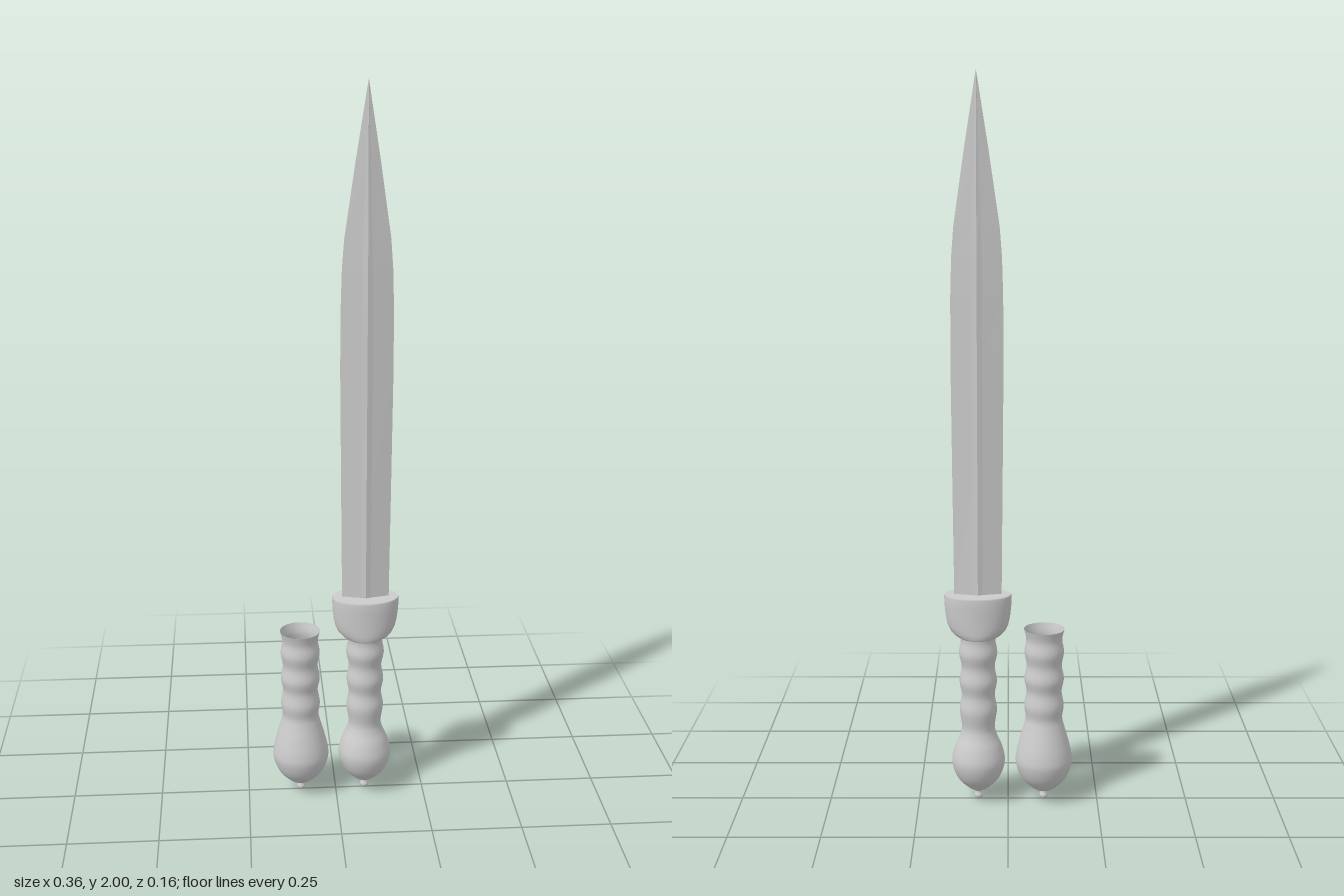
import * as THREE from 'three';

const material = new THREE.MeshStandardMaterial({ color: 0xcccccc, side: THREE.DoubleSide });

function addMesh(parent, name, geometry) {
  const mesh = new THREE.Mesh(geometry, material);
  mesh.name = name;
  parent.add(mesh);
  return mesh;
}

// Smooth turned shape from [radius, height] points
function turned(points, steps = 110) {
  const curve = new THREE.SplineCurve(points.map(([r, y]) => new THREE.Vector2(r, y)));
  return new THREE.LatheGeometry(curve.getPoints(steps), 48);
}

// Loft closed rings of Vector3, lowest first, each running from +x towards +z
function loft(rings, flat) {
  const n = rings[0].length;
  const positions = rings.flatMap(ring => ring.flatMap(p => [p.x, p.y, p.z]));
  const index = [];
  for (let j = 0; j < rings.length - 1; j++) {
    for (let i = 0; i < n; i++) {
      const a = j * n + i, b = j * n + (i + 1) % n;
      index.push(a, a + n, b, b, a + n, b + n);
    }
  }
  let geometry = new THREE.BufferGeometry();
  geometry.setAttribute('position', new THREE.Float32BufferAttribute(positions, 3));
  geometry.setIndex(index);
  if (flat) geometry = geometry.toNonIndexed();
  geometry.computeVertexNormals();
  return geometry;
}

function ellipseRing(halfX, halfZ, y, n = 64) {
  return Array.from({ length: n }, (_, i) => {
    const a = (i / n) * Math.PI * 2;
    return new THREE.Vector3(Math.cos(a) * halfX, y, Math.sin(a) * halfZ);
  });
}

// Flat elliptical cap facing up or down
function ellipseCap(halfX, halfZ, y, up) {
  const cap = new THREE.CircleGeometry(1, 64);
  cap.rotateX(up ? -Math.PI / 2 : Math.PI / 2);
  cap.scale(halfX, 1, halfZ);
  cap.translate(0, y, 0);
  return cap;
}

// Small button at the foot of each pommel
const button = [[0.0005, 0], [0.008, 0.002], [0.012, 0.011], [0.009, 0.02], [0.01, 0.026]];

function createSword() {
  const sword = new THREE.Group();
  sword.name = 'sword';

  // Pommel and ribbed grip
  addMesh(sword, 'grip', turned([...button,
    [0.03, 0.038], [0.06, 0.07], [0.074, 0.115], [0.066, 0.157], [0.051, 0.193], [0.046, 0.22],
    [0.052, 0.268], [0.046, 0.31], [0.052, 0.35], [0.046, 0.392], [0.053, 0.432], [0.048, 0.468], [0.052, 0.5]]));

  // Oval guard: narrows in width towards the grip, keeps its depth
  const guard = new THREE.Group();
  guard.name = 'guard';
  sword.add(guard);
  const sections = [[0.054, 0.056, 0.48], [0.064, 0.059, 0.486], [0.076, 0.06, 0.498], [0.084, 0.06, 0.515],
    [0.089, 0.06, 0.54], [0.092, 0.061, 0.57], [0.093, 0.061, 0.596], [0.091, 0.059, 0.6]];
  addMesh(guard, 'guardSide', loft(sections.map(s => ellipseRing(...s))));
  addMesh(guard, 'guardTop', ellipseCap(0.091, 0.059, 0.6, true));
  addMesh(guard, 'guardBottom', ellipseCap(0.054, 0.056, 0.48, false));

  // Blade with a diamond section, closing to a point: [half width, half thickness, height]
  const stations = [[0.065, 0.018, 0.58], [0.068, 0.018, 0.9], [0.071, 0.018, 1.25], [0.07, 0.018, 1.42],
    [0.067, 0.0175, 1.52], [0.061, 0.0155, 1.6], [0.032, 0.009, 1.8], [0.0005, 0.0005, 2]];
  addMesh(sword, 'blade', loft(stations.map(([w, t, y]) => [
    [w, 0], [w * 0.2, t * 0.72], [0, t], [-w * 0.2, t * 0.72],
    [-w, 0], [-w * 0.2, -t * 0.72], [0, -t], [w * 0.2, -t * 0.72],
  ].map(([x, z]) => new THREE.Vector3(x, y, z))), true));
  return sword;
}

export function createModel() {
  const model = new THREE.Group();
  model.name = 'swordWithSpareGrip';

  const sword = createSword();
  sword.position.x = 0.083;
  model.add(sword);

  // Spare grip: a thin hollow shell, open at the top
  const spare = addMesh(model, 'spareGrip', turned([...button,
    [0.032, 0.036], [0.063, 0.068], [0.078, 0.108], [0.077, 0.14], [0.067, 0.182], [0.056, 0.22], [0.051, 0.245],
    [0.055, 0.28], [0.049, 0.32], [0.055, 0.357], [0.049, 0.396], [0.055, 0.434], [0.05, 0.47], [0.056, 0.5]]));
  spare.position.x = -0.1;
  return model;
}
